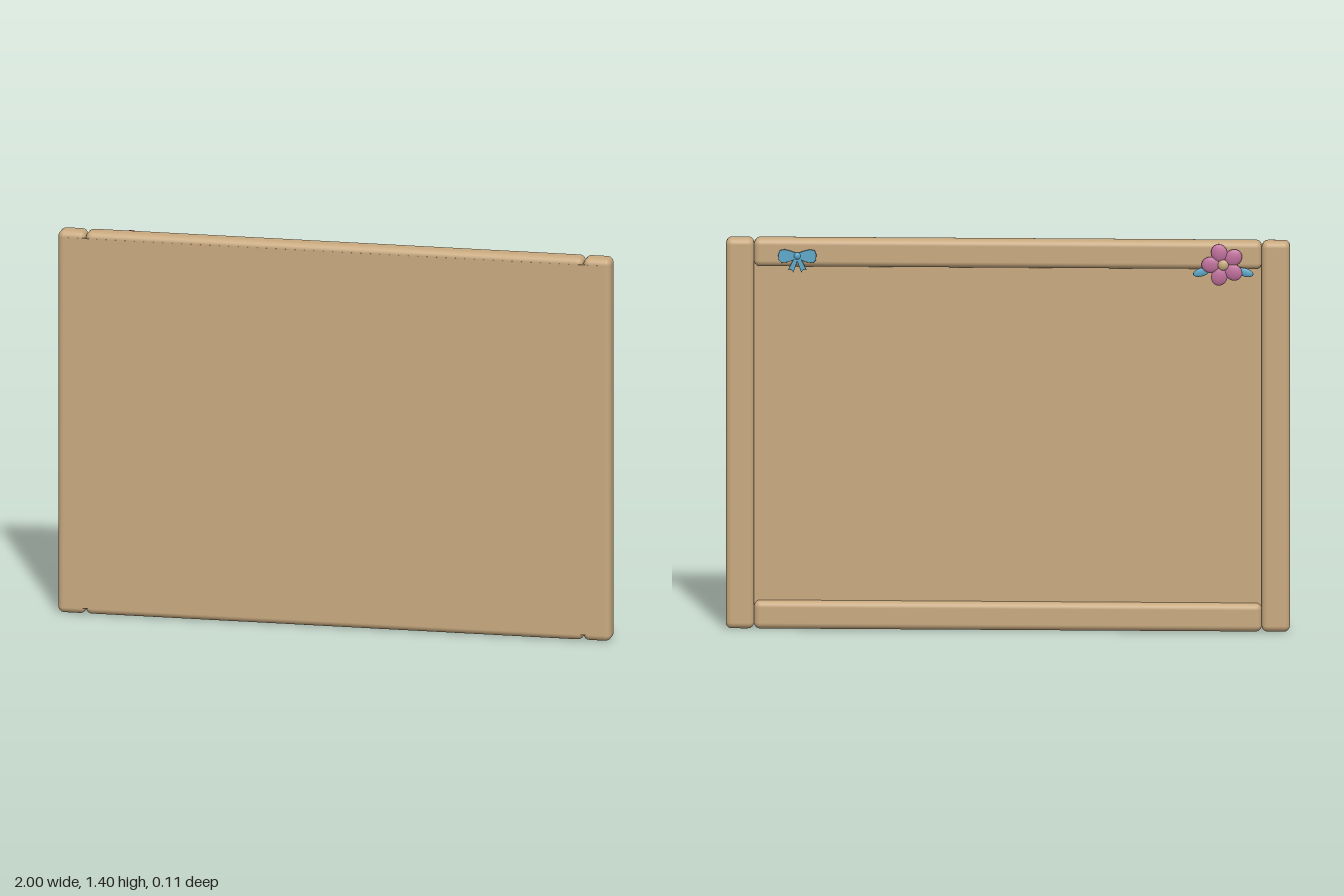
import * as THREE from 'three';
import { RoundedBoxGeometry } from 'three/addons/geometries/RoundedBoxGeometry.js';

const mat = (name, color) => {
  const m = new THREE.MeshStandardMaterial({ color });
  m.name = name;
  return m;
};

export function createModel() {
  const wood = mat('tan wood', 0xc8a97f);
  const pink = mat('petal pink', 0xc0709c);
  const blue = mat('ribbon blue', 0x5fa8c8);
  const root = new THREE.Group();
  root.name = 'framedBoard';

  const add = (parent, name, geometry, material, x, y, z) => {
    const mesh = new THREE.Mesh(geometry, material);
    mesh.name = name;
    mesh.position.set(x, y, z);
    parent.add(mesh);
    return mesh;
  };

  // Rounded frame bars: two stiles and two rails
  const zMid = 0.014, depth = 0.078;
  for (const s of [-1, 1]) {
    add(root, s > 0 ? 'leftStile' : 'rightStile',
      new RoundedBoxGeometry(0.1, 1.4, depth, 5, 0.022), wood, s * 0.95, 0.7, zMid);
    add(root, s > 0 ? 'topRail' : 'bottomRail',
      new RoundedBoxGeometry(1.8, 0.1, depth, 5, 0.022), wood, 0, 0.7 + s * 0.65, zMid);
  }

  // Board, flush with the front of the frame and recessed at the back
  add(root, 'board', new THREE.BoxGeometry(1.956, 1.356, 0.044), wood, 0, 0.7, 0.0315);

  // Flower on the back of the top rail
  const flower = new THREE.Group();
  flower.name = 'flower';
  flower.position.set(-0.765, 1.32, -0.036);
  root.add(flower);
  const ball = new THREE.SphereGeometry(1, 20, 12);
  for (let i = 0; i < 5; i++) {
    const a = (i * 2 * Math.PI) / 5;
    const petal = add(flower, 'petal', ball, pink, Math.cos(a) * 0.044, Math.sin(a) * 0.044, -0.003);
    petal.scale.set(0.033, 0.029, 0.011);
    petal.rotation.z = a;
  }
  add(flower, 'flowerCentre', ball, wood, 0, 0, -0.009).scale.set(0.019, 0.019, 0.011);
  for (const s of [-1, 1]) {
    const leaf = add(flower, 'leaf', ball, blue, s * 0.077, -0.027, 0.001);
    leaf.scale.set(0.031, 0.015, 0.006);
    leaf.rotation.z = -s * 0.3;
  }

  // Ribbon bow on the back of the top rail
  const bow = new THREE.Group();
  bow.name = 'bow';
  bow.position.set(0.745, 1.343, -0.038);
  root.add(bow);
  const plate = (points, thick) => {
    const shape = new THREE.Shape(points.map(([x, y]) => new THREE.Vector2(x, y)));
    const g = new THREE.ExtrudeGeometry(shape, {
      depth: thick, bevelEnabled: true, bevelThickness: 0.002, bevelSize: 0.002, bevelSegments: 2,
    });
    return g.translate(0, 0, -thick / 2);
  };
  const loop = plate([[0, -0.006], [0.03, -0.02], [0.055, -0.023], [0.064, -0.014],
    [0.066, 0.004], [0.06, 0.018], [0.045, 0.021], [0.025, 0.016], [0, 0.007]], 0.007);
  const tail = plate([[-0.005, 0], [0.005, 0], [0.009, -0.058], [0, -0.052], [-0.009, -0.058]], 0.004);
  for (const s of [0, 1]) {
    add(bow, 'bowLoop', loop, blue, 0, 0, 0).rotation.y = s * Math.PI;
    add(bow, 'bowTail', tail, blue, 0, 0, 0.002).rotation.z = s ? 0.4 : -0.4;
  }
  add(bow, 'bowKnot', ball, blue, 0, 0, -0.002).scale.set(0.013, 0.013, 0.009);

  return root;
}
